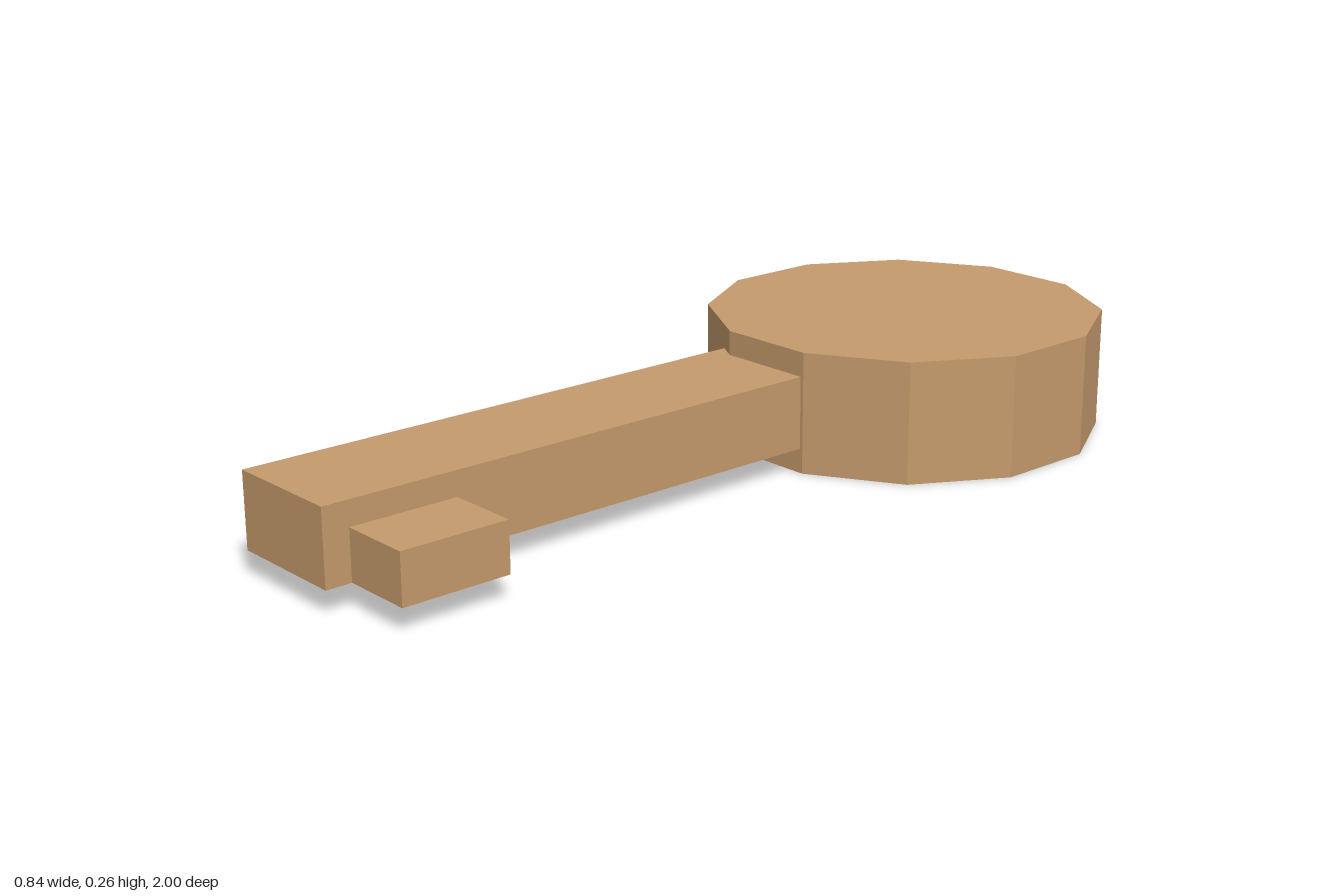
import * as THREE from 'three';

export function createModel() {
  const group = new THREE.Group();
  const wood = new THREE.MeshStandardMaterial({ color: 0xc49a6c });
  wood.name = 'wood';

  // Box given by its min and max corners
  const addBox = (name, min, max) => {
    const [w, h, d] = max.map((v, i) => v - min[i]);
    const mesh = new THREE.Mesh(new THREE.BoxGeometry(w, h, d), wood);
    mesh.position.set(...max.map((v, i) => (v + min[i]) / 2));
    mesh.name = name;
    group.add(mesh);
  };

  // Twelve-sided grip with flat sides facing the axes
  const apothem = 0.42, height = 0.263;
  const disc = new THREE.CylinderGeometry(
    apothem / Math.cos(Math.PI / 12), apothem / Math.cos(Math.PI / 12), height, 12
  ).rotateY(Math.PI / 12).toNonIndexed();
  disc.computeVertexNormals(); // flat facets
  const bow = new THREE.Mesh(disc, wood);
  bow.name = 'bow';
  bow.position.set(0, height / 2, -1 + apothem);
  group.add(bow);

  // Shaft running into the grip, and the single tooth near its tip
  addBox('shaft', [-0.158, 0.053, -0.25], [0.105, 0.21, 1]);
  addBox('tooth', [0.105, 0.053, 0.712], [0.261, 0.158, 0.945]);

  return group;
}
